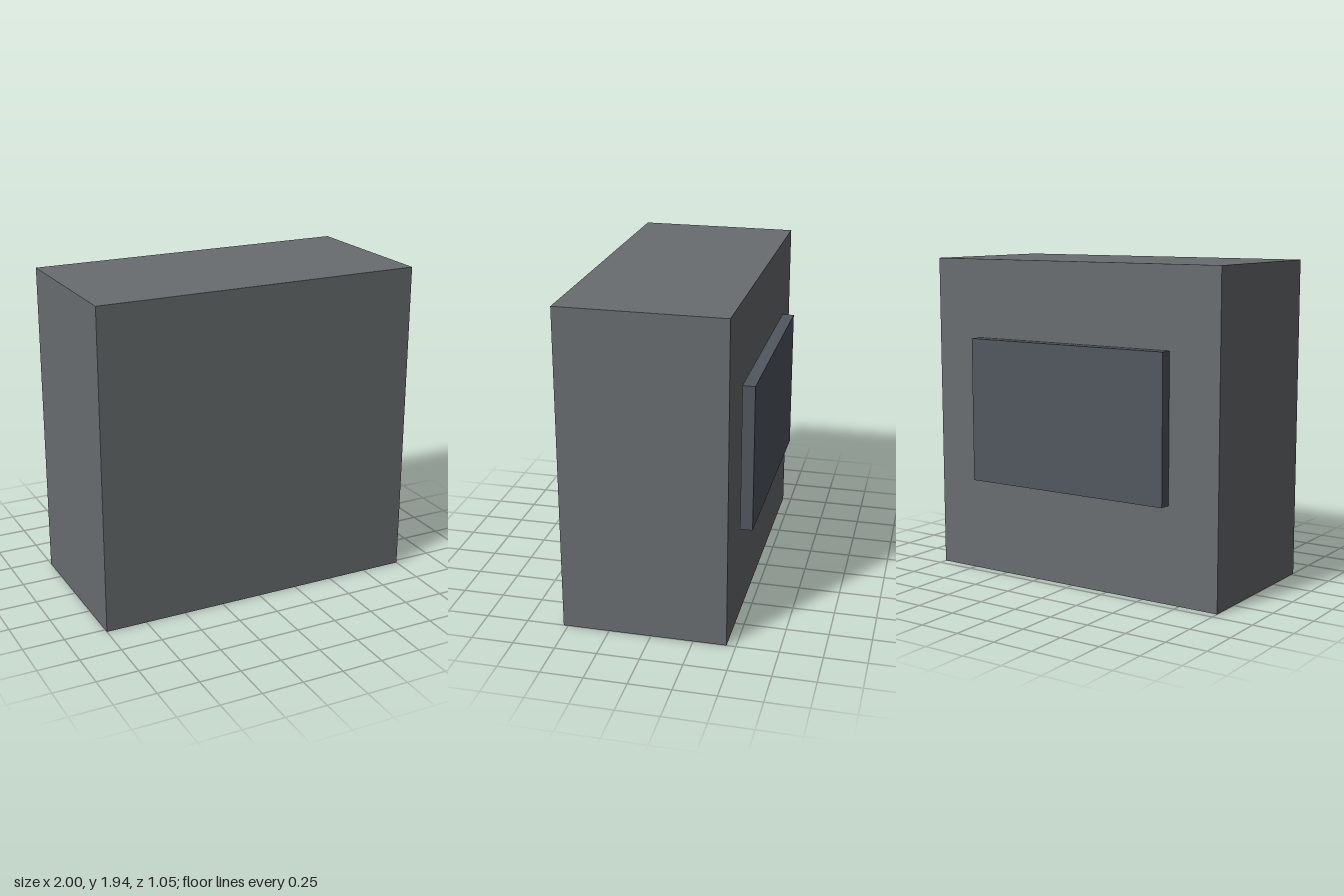
import * as THREE from 'three';

// Box given by its minimum and maximum corners
function block(name, color, min, max) {
  const size = max.map((v, i) => v - min[i]);
  const mesh = new THREE.Mesh(
    new THREE.BoxGeometry(...size),
    new THREE.MeshStandardMaterial({ color })
  );
  mesh.position.set(...max.map((v, i) => (v + min[i]) / 2));
  mesh.name = name;
  return mesh;
}

export function createModel() {
  const model = new THREE.Group();
  model.name = 'cabinet';

  // Main housing
  model.add(block('body', 0x686d70, [-1, 0, -0.446], [1, 1.944, 0.527]));

  // Thin plate standing just clear of the back face
  model.add(block('backPanel', 0x50575e, [-0.682, 0.584, -0.527], [0.682, 1.465, -0.454]));

  return model;
}
